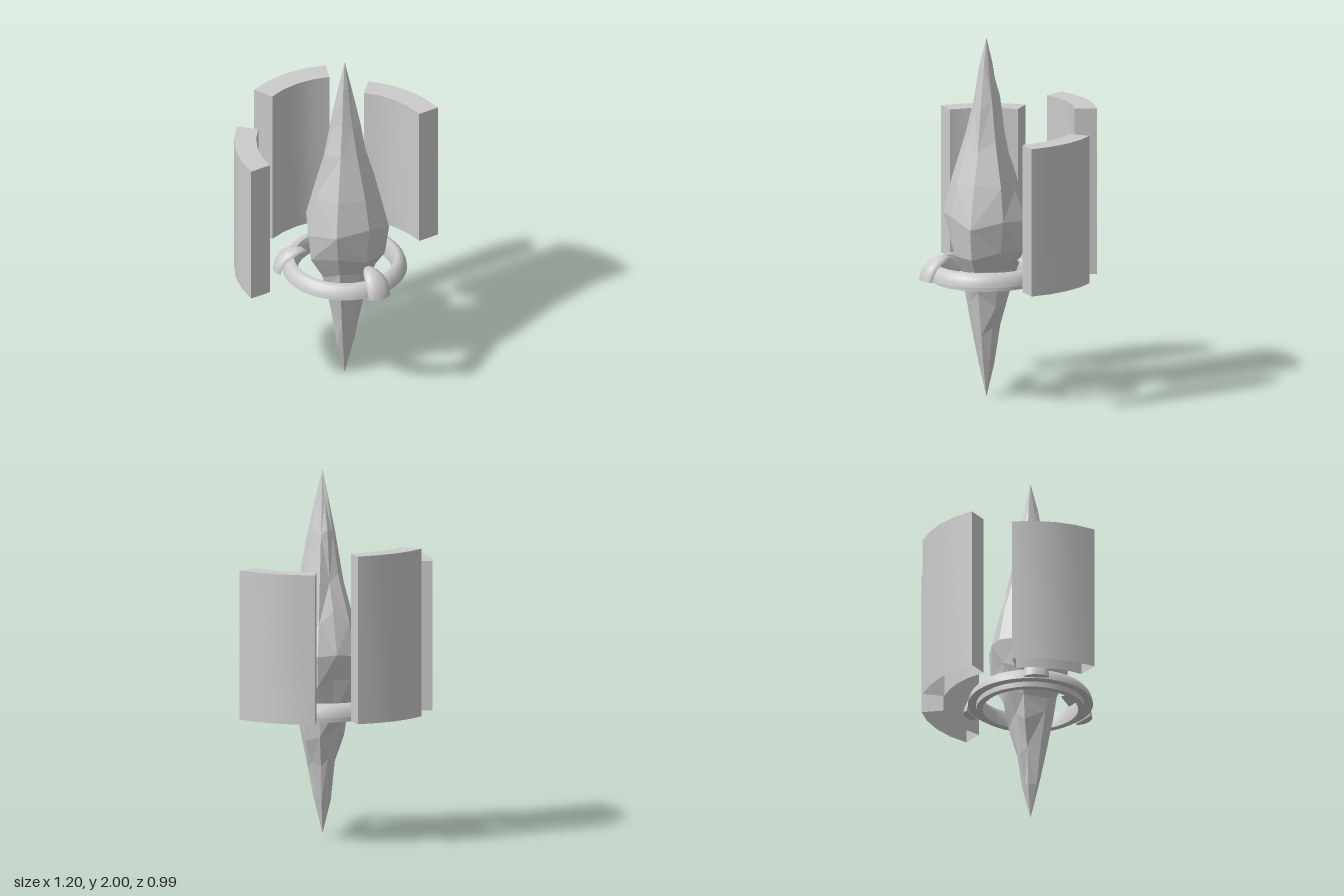
import * as THREE from 'three';
import { mergeGeometries, toCreasedNormals } from 'three/addons/utils/BufferGeometryUtils.js';

const AXIS_Z = 0.1; // every part is arranged around this upright axis
const rad = THREE.MathUtils.degToRad;
const grey = (options = {}) => new THREE.MeshStandardMaterial({ color: 0xcccccc, ...options });
const points = (list) => list.map(([x, y]) => new THREE.Vector2(x, y));

function addMesh(parent, name, geometry, material) {
  const mesh = new THREE.Mesh(geometry, material);
  mesh.name = name;
  parent.add(mesh);
  return mesh;
}

// Small seeded jitter between -1 and 1
function seeded(seed) {
  let s = seed;
  return () => {
    s = (s * 16807) % 2147483647;
    return (s / 2147483647) * 2 - 1;
  };
}

// Faceted crystal: an uneven plan outline scaled up the height, tapering to two tips
function crystalGeometry() {
  const plan = [[0.225, 0], [0.175, 0.175], [0.02, 0.22], [-0.165, 0.18], [-0.24, 0.02],
    [-0.14, -0.17], [-0.03, -0.23], [0.075, -0.205], [0.17, -0.155]];
  const levels = [[0.2, 0.2], [0.38, 0.34], [0.56, 0.5], [0.7, 0.64], [0.84, 0.87], [1.01, 1],
    [1.2, 0.8], [1.42, 0.53], [1.64, 0.34], [1.82, 0.15]];
  const n = plan.length;
  const jitter = seeded(41);
  const position = [0, 0, 0];
  levels.forEach(([y, scale]) => {
    const wobble = scale === 1 ? 0 : 0.1;
    plan.forEach(([x, z]) => {
      const k = scale * (1 + wobble * jitter());
      position.push(x * k, y + 0.04 * jitter(), z * k);
    });
  });
  position.push(0, 2, 0);
  const top = position.length / 3 - 1;
  const index = [];
  for (let i = 0; i < n; i++) {
    const j = (i + 1) % n;
    index.push(0, 1 + i, 1 + j);
    for (let l = 0; l < levels.length - 1; l++) {
      const a = 1 + l * n + i, b = 1 + l * n + j;
      if ((i + l) % 2) index.push(a, a + n, b, b, a + n, b + n);
      else index.push(a, b + n, b, a, a + n, b + n);
    }
    index.push(top - n + i, top, top - n + j);
  }
  const indexed = new THREE.BufferGeometry();
  indexed.setAttribute('position', new THREE.Float32BufferAttribute(position, 3));
  indexed.setIndex(index);
  const geometry = indexed.toNonIndexed();
  geometry.computeVertexNormals();
  return geometry;
}

// Curved wall panel, open underneath
function panelGeometry(startDeg, height) {
  const inner = 0.48, outer = 0.6, sweep = 45;
  const shell = new THREE.LatheGeometry(
    points([[outer, 0], [outer, height], [inner, height], [inner, 0]]), 4, rad(startDeg), rad(sweep));
  const pieces = [shell.toNonIndexed()];
  [startDeg, startDeg + sweep].forEach((deg, i) => {
    const end = new THREE.PlaneGeometry(outer - inner, height);
    if (i === 1) end.rotateY(Math.PI);
    end.translate((outer + inner) / 2, height / 2, 0);
    end.rotateY(rad(deg) - Math.PI / 2);
    pieces.push(end.toNonIndexed());
  });
  return toCreasedNormals(mergeGeometries(pieces), rad(30));
}

// Claw: half-round cross-sections swept over the ring towards the crystal
function clawGeometry() {
  // radius, height, half width, thickness, outward tilt of the section
  const sections = [
    [0.35, 0.68, 0.068, 0.04, 0], [0.343, 0.71, 0.068, 0.04, 0.25], [0.325, 0.743, 0.065, 0.038, 0.6],
    [0.298, 0.768, 0.058, 0.034, 1.0], [0.267, 0.782, 0.046, 0.028, 1.4],
    [0.235, 0.788, 0.028, 0.02, 1.75], [0.208, 0.785, 0.003, 0.004, 2.0]];
  const arc = 12, n = arc + 1;
  const position = [], index = [];
  sections.forEach(([r, y, w, t, tilt]) => {
    for (let i = 0; i < n; i++) {
      const a = (i / arc) * Math.PI;
      const out = t * Math.sin(a);
      position.push(w * Math.cos(a), y + out * Math.sin(tilt), r + out * Math.cos(tilt));
    }
  });
  for (let s = 0; s < sections.length - 1; s++) {
    for (let i = 0; i < n; i++) {
      const j = (i + 1) % n;
      const a = s * n + i, b = s * n + j;
      index.push(a, a + n, b, b, a + n, b + n);
    }
  }
  // Caps at the foot and the tip
  const last = (sections.length - 1) * n;
  for (let i = 1; i < arc; i++) {
    index.push(0, i, i + 1);
    index.push(last, last + i + 1, last + i);
  }
  const geometry = new THREE.BufferGeometry();
  geometry.setAttribute('position', new THREE.Float32BufferAttribute(position, 3));
  geometry.setIndex(index);
  return toCreasedNormals(geometry, rad(50));
}

export function createModel() {
  const model = new THREE.Group();
  model.name = 'floatingCrystal';
  const body = new THREE.Group();
  body.name = 'crystalAssembly';
  body.position.z = AXIS_Z;
  model.add(body);

  addMesh(body, 'crystal', crystalGeometry(), grey({ flatShading: true }));

  // Ring with a domed top and a narrow collar underneath
  const ringProfile = points([
    [0.26, 0.65], [0.295, 0.65], [0.295, 0.68], [0.34, 0.68], [0.337, 0.7], [0.327, 0.725],
    [0.31, 0.745], [0.29, 0.753], [0.276, 0.75], [0.26, 0.72], [0.26, 0.65]]);
  const ring = toCreasedNormals(new THREE.LatheGeometry(ringProfile, 48), rad(35));
  addMesh(body, 'ring', ring, grey({ side: THREE.DoubleSide }));

  // Three claws spaced evenly around the ring
  const claw = clawGeometry();
  for (let i = 0; i < 3; i++) {
    addMesh(body, 'claw', claw, grey({ side: THREE.DoubleSide })).rotation.y = (i * Math.PI * 2) / 3;
  }

  // Wall panels: two at the sides and a taller one at the back
  const panels = [['leftPanel', 90, 0.82], ['backPanel', 157.5, 0.92], ['rightPanel', 225, 0.82]];
  panels.forEach(([name, start, height]) => {
    const panel = addMesh(body, name, panelGeometry(start, height), grey({ side: THREE.DoubleSide }));
    panel.position.y = 0.68;
  });

  return model;
}
